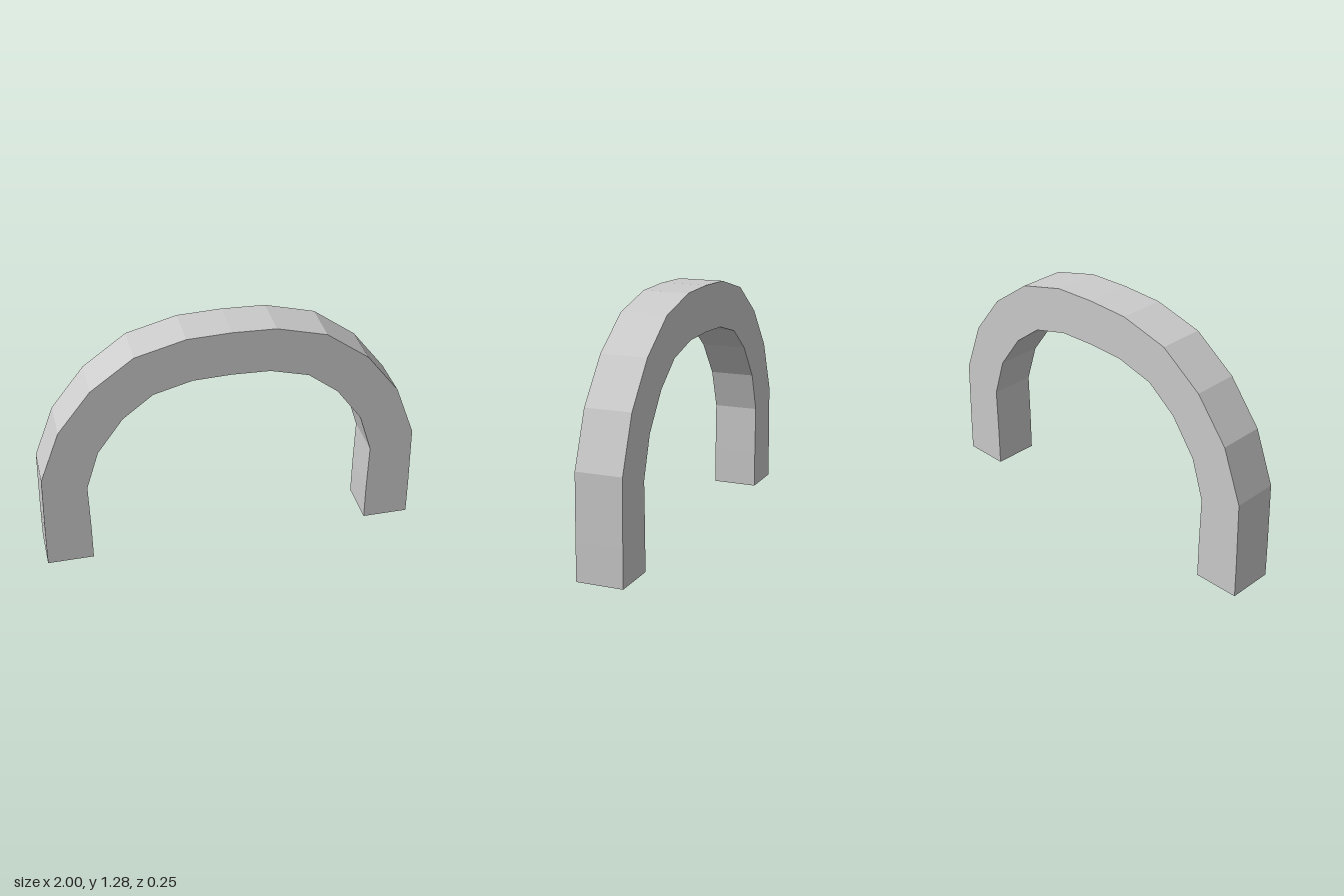
import * as THREE from 'three';

const DEPTH = 0.245;

// Right half of each edge of the arch, from the foot up to the crown
const OUTER = [[1, 0], [0.999, 0.2], [0.993, 0.54], [0.888, 0.82], [0.715, 1.042], [0.49, 1.206], [0.228, 1.275], [0, 1.283]];
const INNER = [[0.755, 0], [0.756, 0.2], [0.762, 0.46], [0.695, 0.672], [0.56, 0.858], [0.402, 0.98], [0.2, 1.034], [0, 1.041]];

// Full edge from right foot to left foot, mirrored about x = 0
function fullEdge(half) {
  const mirrored = half.slice(0, -1).reverse().map(([x, y]) => [-x, y]);
  return [...half, ...mirrored].map(([x, y]) => new THREE.Vector2(x, y));
}

export function createModel() {
  const group = new THREE.Group();
  group.name = 'archway';

  // Faceted arch: outer edge over the top, inner edge back again
  const shape = new THREE.Shape([...fullEdge(OUTER), ...fullEdge(INNER).reverse()]);
  const geometry = new THREE.ExtrudeGeometry(shape, { depth: DEPTH, bevelEnabled: false });
  geometry.translate(0, 0, -DEPTH / 2);

  const material = new THREE.MeshStandardMaterial({ color: 0xcccccc, flatShading: true });
  const arch = new THREE.Mesh(geometry, material);
  arch.name = 'arch';
  group.add(arch);
  return group;
}
